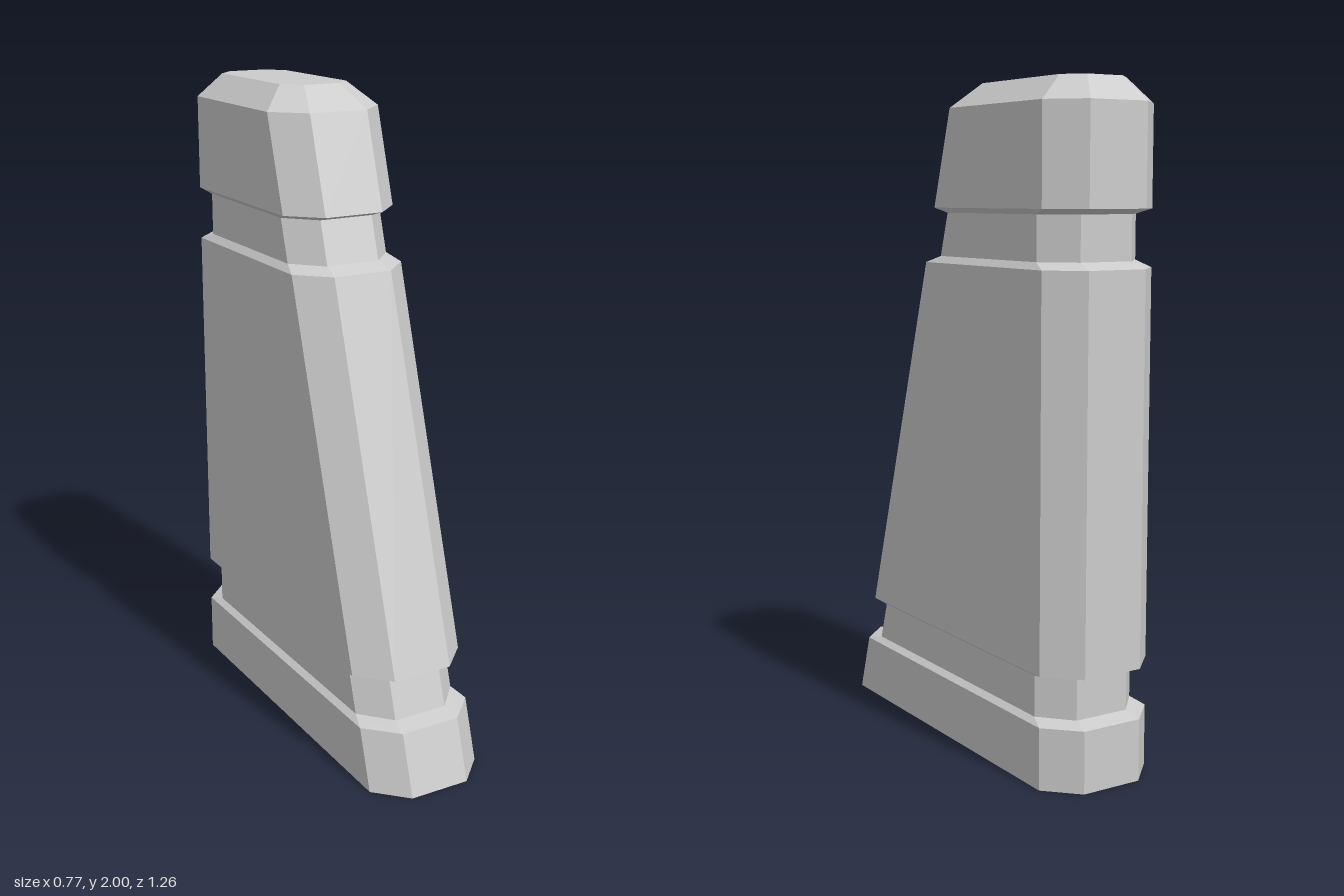
import * as THREE from 'three';

const material = new THREE.MeshStandardMaterial({ color: 0xcccccc, flatShading: true, side: THREE.DoubleSide });

// Sloping front end and upright back end of the pillar
const BACK = -0.64;
const frontAt = (y) => 0.641 - 0.317 * y;

// Rectangle with cut corners: half width, half width of the end face, corner depth
function ring(y, front, back, side, end, cut) {
  return [
    [side, front - cut], [side, back + cut], [end, back], [-end, back],
    [-side, back + cut], [-side, front - cut], [-end, front], [end, front],
  ].map(([x, z]) => new THREE.Vector3(x, y, z));
}
const outer = (y) => ring(y, frontAt(y), BACK, 0.188, 0.096, 0.092);
const inner = (y) => ring(y, frontAt(y) - 0.052, BACK + 0.052, 0.17, 0.087, 0.092);

// Skin a stack of rings, optionally closing the last one
function loft(name, rings, closed = false) {
  const points = [];
  for (let r = 0; r < rings.length - 1; r++) {
    const lo = rings[r], hi = rings[r + 1];
    for (let i = 0; i < lo.length; i++) {
      const j = (i + 1) % lo.length;
      points.push(lo[i], lo[j], hi[j], lo[i], hi[j], hi[i]);
    }
  }
  if (closed) {
    const top = rings[rings.length - 1];
    for (let i = 1; i < top.length - 1; i++) points.push(top[0], top[i], top[i + 1]);
  }
  const geometry = new THREE.BufferGeometry().setFromPoints(points);
  geometry.computeVertexNormals();
  const mesh = new THREE.Mesh(geometry, material);
  mesh.name = name;
  return mesh;
}

export function createModel() {
  const pillar = new THREE.Group();
  pillar.name = 'taperedPillar';
  pillar.add(
    // Hollow shell, open underneath
    loft('base', [outer(0), outer(0.185)]),
    loft('lowerGroove', [outer(0.185), inner(0.2), inner(0.322), outer(0.335)]),
    loft('body', [outer(0.335), outer(1.475)]),
    loft('upperGroove', [outer(1.475), inner(1.495), inner(1.625), outer(1.64)]),
    // Cap with bevelled top
    loft('cap', [outer(1.64), outer(1.93), ring(2, -0.073, -0.573, 0.113, 0.06, 0.053)], true),
  );
  pillar.rotation.y = -Math.PI / 8;

  const model = new THREE.Group();
  model.add(pillar);
  return model;
}
